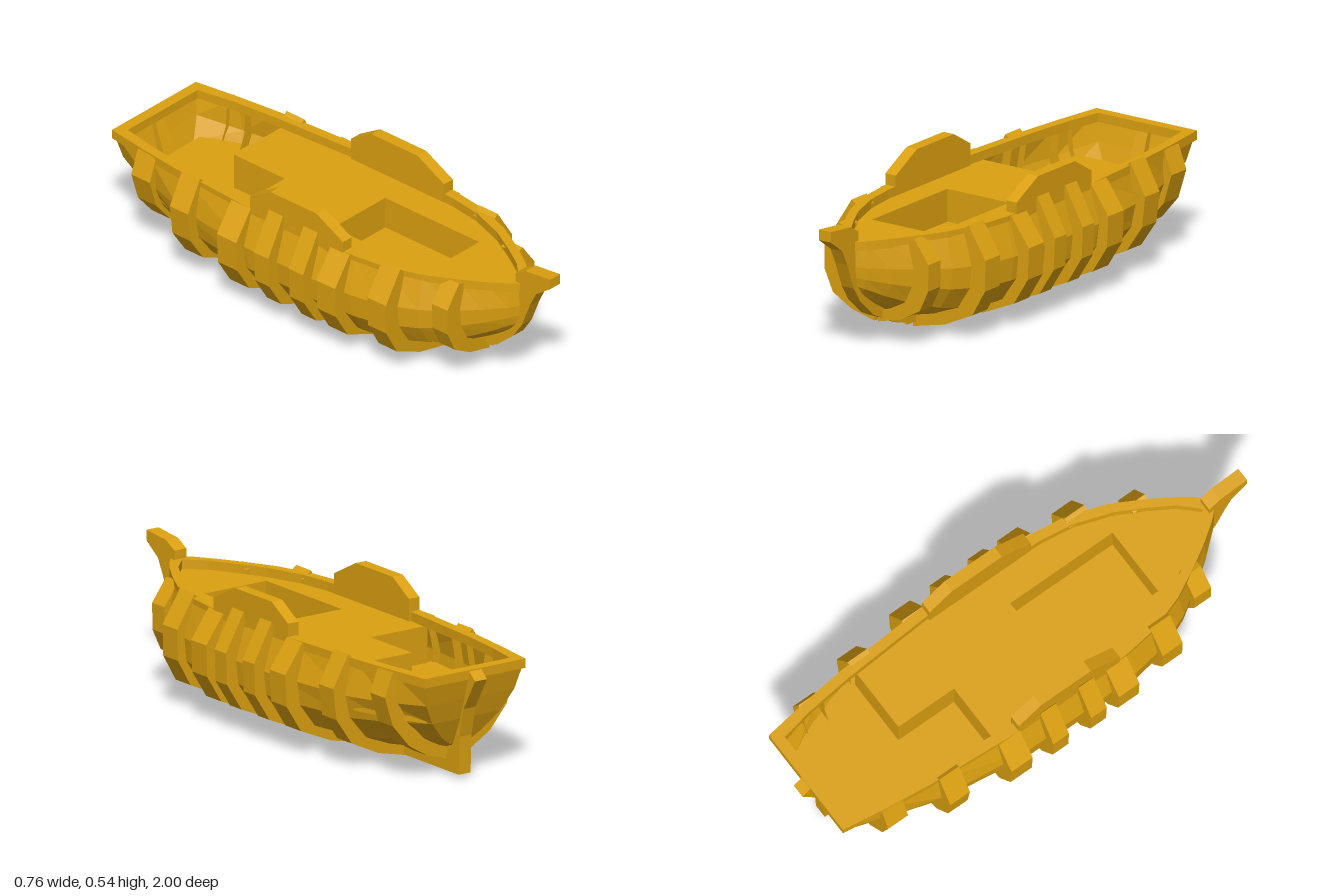
import * as THREE from 'three';

const timber = new THREE.MeshStandardMaterial({ color: 0xdba010, side: THREE.DoubleSide, flatShading: true });
timber.name = 'golden timber';

// Hull levels from gunwale to keel: height, half width, stern z, bow z, stern narrowing, bow rise, stern rise
const LEVELS = [
  { y: 0.42, w: 0.292, zs: -0.965, zb: 0.86, sf: 1.0, br: 0, sr: 0 },
  { y: 0.28, w: 0.335, zs: -0.935, zb: 0.86, sf: 0.78, br: 0.05, sr: 0.03 },
  { y: 0.19, w: 0.325, zs: -0.91, zb: 0.855, sf: 0.62, br: 0.1, sr: 0.04 },
  { y: 0.1, w: 0.26, zs: -0.88, zb: 0.85, sf: 0.45, br: 0.16, sr: 0.06 },
  { y: 0.055, w: 0.13, zs: -0.865, zb: 0.845, sf: 0.4, br: 0.185, sr: 0.07 },
  { y: 0.03, w: 0.015, zs: -0.85, zb: 0.84, sf: 1.0, br: 0.2, sr: 0.08 },
];
// Plan curve: position along the hull, share of full width
const PLAN = [[0, 0.76], [0.1, 0.85], [0.2, 0.92], [0.4, 1], [0.58, 1], [0.68, 0.97], [0.75, 0.91],
  [0.83, 0.74], [0.89, 0.54], [0.94, 0.35], [0.98, 0.17], [1, 0.05]];

function planWidth(t) {
  for (let i = 1; i < PLAN.length; i++) {
    const [a, fa] = PLAN[i - 1], [b, fb] = PLAN[i];
    if (t <= b) return fa + (fb - fa) * Math.max(0, t - a) / (b - a);
  }
  return PLAN[PLAN.length - 1][1];
}

// Point on the left half of the hull
function hullPoint(l, t) {
  const aft = Math.max(0, 1 - t / 0.3), fore = Math.max(0, (t - 0.7) / 0.3);
  const x = l.w * planWidth(t) * (1 + (l.sf - 1) * aft ** 1.5);
  const y = l.y + l.br * fore ** 2 + l.sr * aft ** 2;
  return [x, y, l.zs + (l.zb - l.zs) * t];
}

const flip = ([x, y, z]) => [-x, y, z];

function quadGeometry(quads) {
  const pos = [];
  for (const [a, b, c, d] of quads) pos.push(...a, ...b, ...c, ...a, ...c, ...d);
  const geo = new THREE.BufferGeometry();
  geo.setAttribute('position', new THREE.Float32BufferAttribute(pos, 3));
  geo.computeVertexNormals();
  return geo;
}

// Same quads on the other side, with reversed corners
const mirrored = (quads) => quads.map(([a, b, c, d]) => [d, c, b, a].map(flip));

function add(group, name, geo) {
  const mesh = new THREE.Mesh(geo, timber);
  mesh.name = name;
  group.add(mesh);
  return mesh;
}

function hullGeometry() {
  const side = [], ends = [];
  for (let i = 0; i < LEVELS.length - 1; i++) {
    const hi = LEVELS[i], lo = LEVELS[i + 1];
    for (let j = 0; j < PLAN.length - 1; j++) {
      const t0 = PLAN[j][0], t1 = PLAN[j + 1][0];
      side.push([hullPoint(lo, t0), hullPoint(hi, t0), hullPoint(hi, t1), hullPoint(lo, t1)]);
    }
    for (const t of [0, 1]) {
      const a = hullPoint(hi, t), b = hullPoint(lo, t);
      const q = [flip(a), a, b, flip(b)];
      ends.push(t ? q.reverse() : q);
    }
  }
  return quadGeometry([...side, ...mirrored(side), ...ends]);
}

// One bent rib following the hull section at z
const RIB_OFFSETS = [[0.008, 0], [0.045, 0.035], [0.05, 0.005], [0.05, -0.008], [0.04, -0.022], [0, -0.03]];
function ribQuads(z, width, rise) {
  const inner = [], outer = [];
  LEVELS.forEach((l, i) => {
    const t = Math.min(1, Math.max(0, (z - l.zs) / (l.zb - l.zs)));
    const [x, y] = hullPoint(l, t);
    const [dx, dy] = RIB_OFFSETS[i];
    outer.push([x + dx, y + dy + (i ? 0 : rise)]);
    inner.push(i ? [x * 0.88, y + 0.012] : [x - 0.025, y - 0.01]);
  });
  const at = ([x, y], dz) => [x, y, z + dz];
  const h = width / 2, quads = [], n = outer.length - 1;
  for (let i = 0; i < n; i++) {
    const a = outer[i], b = outer[i + 1], c = inner[i + 1], d = inner[i];
    quads.push([at(a, h), at(b, h), at(b, -h), at(a, -h)].reverse());
    quads.push([at(d, h), at(c, h), at(b, h), at(a, h)]);
    quads.push([at(a, -h), at(b, -h), at(c, -h), at(d, -h)]);
  }
  for (const i of [0, n]) {
    const q = [at(inner[i], h), at(outer[i], h), at(outer[i], -h), at(inner[i], -h)];
    quads.push(i ? q.reverse() : q);
  }
  return quads;
}

// Horizontal slab from plan points (x, z), its top at y
function slab(points, y, depth, hole) {
  const shape = new THREE.Shape(points.map(([x, z]) => new THREE.Vector2(x, z)));
  if (hole) shape.holes.push(new THREE.Path(hole.map(([x, z]) => new THREE.Vector2(x, z))));
  const geo = new THREE.ExtrudeGeometry(shape, { depth, bevelEnabled: false });
  return geo.rotateX(Math.PI / 2).translate(0, y, 0);
}

// Upright plate from side points (z, y), centred on x
function upright(points, thickness, x = 0) {
  const shape = new THREE.Shape(points.map(([z, y]) => new THREE.Vector2(z, y)));
  const geo = new THREE.ExtrudeGeometry(shape, { depth: thickness, bevelEnabled: false });
  return geo.translate(0, 0, -thickness / 2).rotateY(-Math.PI / 2).translate(x, 0, 0);
}

// Left edge of the gunwale, stern to bow, moved in by inset
function edge(inset, sternZ, bowZ) {
  const pts = PLAN.map(([t]) => hullPoint(LEVELS[0], t))
    .map(([x, , z]) => [x - inset, Math.max(z, sternZ)])
    .filter(([x, z]) => x > 0.008 && z < bowZ);
  return [...pts, [0, bowZ]];
}
const closed = (left) => [...left, ...left.slice(0, -1).reverse().map(([x, z]) => [-x, z])];

export function createModel() {
  const boat = new THREE.Group();
  boat.name = 'boat';

  add(boat, 'hull', hullGeometry());

  // Gunwale ring
  const rimOuter = closed(edge(-0.005, -0.968, 0.868));
  add(boat, 'gunwale', slab(rimOuter, 0.425, 0.035, closed(edge(0.034, -0.922, 0.82))));

  // Deck with an open hatch and a stepped aft edge
  const deckSide = edge(0.018, -0.968, 0.835);
  const left = deckSide.filter(([, z]) => z > -0.54);
  const right = deckSide.filter(([, z]) => z > -0.27).map(([x, z]) => [-x, z]).slice(0, -1).reverse();
  const deck = [[-0.015, -0.31], [-0.015, -0.56], [0.252, -0.56], ...left, ...right, [-0.27, -0.31]];
  const hatch = [[-0.15, 0.05], [0.13, 0.05], [0.13, 0.51], [-0.15, 0.51]];
  add(boat, 'deck', slab(deck, 0.39, 0.14, hatch));

  // Low floor under the hatch and the cockpit
  add(boat, 'hatchFloor', slab([[-0.16, 0.04], [0.14, 0.04], [0.14, 0.52], [-0.16, 0.52]], 0.265, 0.02));
  const floor = [[0.165, -0.89], [0.215, -0.8], [0.275, -0.6], [0.3, -0.3], [-0.3, -0.3], [-0.275, -0.6],
    [-0.215, -0.8], [-0.165, -0.89]];
  add(boat, 'cockpitFloor', slab(floor, 0.25, 0.02));

  // Stem, keel and sternpost in one
  add(boat, 'keel', upright([[1, 0.5], [0.88, 0.488], [0.83, 0.46], [0.83, 0.3], [0.76, 0.19], [0.6, 0.09],
    [0.43, 0.05], [-0.82, 0.06], [-0.87, 0.2], [-0.94, 0.4], [-0.965, 0.42], [-1, 0.39], [-0.93, 0.27],
    [-0.905, 0.16], [-0.9, 0.015], [0.43, 0.015], [0.6, 0.055], [0.74, 0.12], [0.82, 0.19], [0.86, 0.25],
    [0.9, 0.35], [0.93, 0.41], [1, 0.46]], 0.054));

  // Ribs: position, width, rise above the gunwale
  const ribs = [[0.648, 0.075, 0], [0.435, 0.09, 0.018], [0.215, 0.092, 0.005], [0.075, 0.07, 0.04],
    [-0.095, 0.07, 0.04], [-0.268, 0.095, 0.005], [-0.527, 0.088, 0.018], [-0.765, 0.09, 0]];
  for (const [z, width, rise] of ribs) {
    const quads = ribQuads(z, width, rise);
    add(boat, 'leftRib', quadGeometry(quads));
    add(boat, 'rightRib', quadGeometry(mirrored(quads)));
  }

  // Raised side boards amidships
  const board = [[0.23, 0.39], [0.23, 0.467], [0.1, 0.535], [-0.125, 0.535], [-0.225, 0.475], [-0.225, 0.39]];
  for (const s of [1, -1]) add(boat, s > 0 ? 'leftSideBoard' : 'rightSideBoard', upright(board, 0.047, s * 0.273));

  return boat;
}
